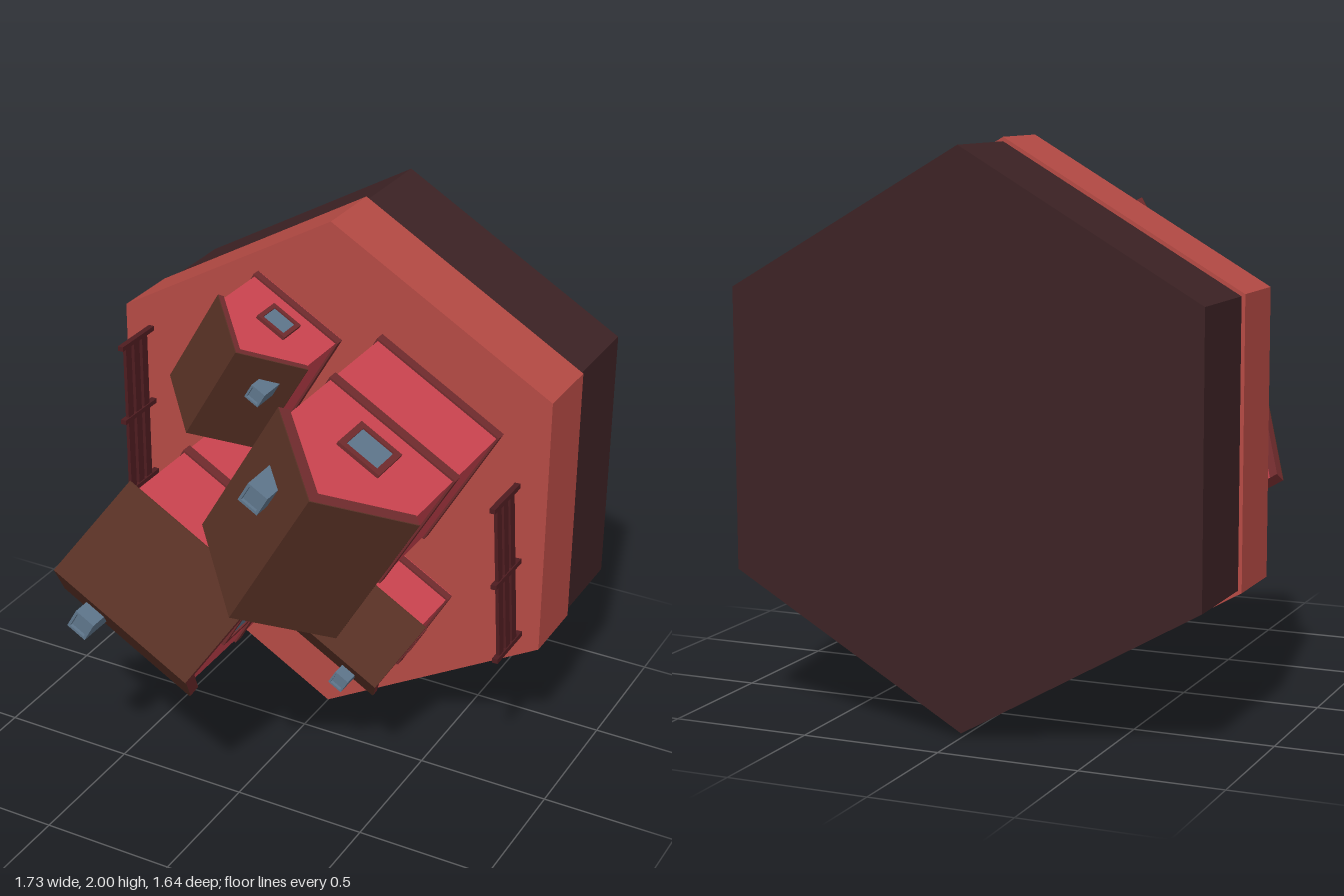
import * as THREE from 'three';

const mat = (name, color, flatShading = true) => {
  const m = new THREE.MeshStandardMaterial({ color, flatShading });
  m.name = name;
  return m;
};

export function createModel() {
  const clay = mat('clay red', 0xb54a44);
  const earth = mat('dark earth', 0x3c2224);
  const wall = mat('wall red', 0xcc4450);
  const trim = mat('dark red trim', 0x702b2d);
  const roofBrown = mat('roof brown', 0x573024);
  const slate = mat('blue grey', 0x5f768c);
  const wood = mat('fence wood', 0x4e1c20);

  const model = new THREE.Group();
  model.name = 'hexVillageTile';
  const GROUND = -0.19;

  const add = (parent, name, geo, material, x = 0, y = 0, z = 0) => {
    const m = new THREE.Mesh(geo, material);
    m.name = name;
    m.position.set(x, y, z);
    parent.add(m);
    return m;
  };
  const box = (w, d, h) => new THREE.BoxGeometry(w, d, h);

  // Extrude a cross-section (across, up) along the ridge, which runs along y
  const alongRidge = (points, length) => {
    const shape = new THREE.Shape(points.map(p => new THREE.Vector2(...p)));
    return new THREE.ExtrudeGeometry(shape, { depth: length, bevelEnabled: false })
      .translate(0, 0, -length / 2).rotateX(Math.PI / 2);
  };
  // Rectangular frame with a hole, extruded along z
  const frameGeo = (w, h, border, depth) => {
    const rect = (T, a, b) => new T([[-a, -b], [a, -b], [a, b], [-a, b]].map(p => new THREE.Vector2(...p)));
    const s = rect(THREE.Shape, w / 2, h / 2);
    s.holes.push(rect(THREE.Path, w / 2 - border, h / 2 - border));
    return new THREE.ExtrudeGeometry(s, { depth, bevelEnabled: false });
  };

  // Hexagonal ground: clay slab on top of a dark layer
  const hex = (name, r, z0, z1, m) =>
    add(model, name, new THREE.CylinderGeometry(r, r, z1 - z0, 6).rotateX(Math.PI / 2), m, 0, 1, (z0 + z1) / 2);
  hex('groundSlab', 1, -0.46, GROUND, clay);
  hex('earthLayer', 0.985, -0.82, -0.46, earth);

  function house(name, o) {
    const g = new THREE.Group();
    g.name = name;
    g.position.set(o.x, 1 + o.y, 0);
    g.rotation.z = THREE.MathUtils.degToRad(o.turn);
    model.add(g);
    const { half: h, roof: r, eave, ridge } = o;
    const slope = (ridge - eave) / r;
    const run = r - h;

    // Walls with gables
    const eaveIn = eave - run;
    const apexIn = eaveIn + slope * h;
    add(g, 'walls', alongRidge([[-h, GROUND], [h, GROUND], [h, eaveIn], [0, apexIn], [-h, eaveIn]], h * 2), wall);

    // Trim bands round the walls
    for (const [z, height] of o.bands) add(g, 'trimBand', box(h * 2 + 0.015, h * 2 + 0.015, height), trim, 0, 0, z);

    // Roof slab with a thin brown covering
    const t = 0.005;
    add(g, 'roofSlab', alongRidge(
      [[-h, eaveIn], [0, apexIn], [h, eaveIn], [r, eave - t], [0, ridge - t], [-r, eave - t]], r * 2), trim);
    add(g, 'roofCovering', alongRidge(
      [[-r, eave - t], [0, ridge - t], [r, eave - t], [r, eave], [0, ridge], [-r, eave]], r * 2), roofBrown);

    // Hollow chimney
    const [cu, cv] = o.chimney, c = o.chimneySize, top = ridge - 0.038;
    const low = ridge - slope * Math.abs(cu) - c;
    add(g, 'chimney', frameGeo(c, c, c * 0.12, top - low), slate, cu, cv, low);
    add(g, 'chimneyCore', box(c * 0.76, c * 0.76, top - low - 0.012), slate, cu, cv, (top + low - 0.012) / 2);

    // Framed window on each gable
    const w = o.window, hw = w * 0.95;
    for (const side of [1, -1]) {
      const win = new THREE.Group();
      win.name = 'window';
      win.position.set(0, side * h, o.windowZ);
      win.rotation.set(-side * Math.PI / 2, 0, 0);
      g.add(win);
      add(win, 'windowFrame', frameGeo(w, hw, w * 0.13, 0.014), trim);
      add(win, 'windowPane', box(w * 0.76, hw * 0.76, 0.008), slate, 0, 0, 0.004);
    }
  }

  const large = {
    half: 0.27, roof: 0.302, eave: 0.55, ridge: 0.818, bands: [[-0.165, 0.04], [0.187, 0.042]],
    chimneySize: 0.082, window: 0.178, windowZ: 0.375,
  };
  const small = { half: 0.19, roof: 0.207, bands: [[-0.162, 0.032]], chimneySize: 0.06, window: 0.125 };
  house('upperLargeHouse', { ...large, x: 0.3125, y: 0.24, turn: -30, chimney: [-0.162, 0.126] });
  house('lowerLargeHouse', { ...large, x: -0.28, y: -0.19, turn: -120, chimney: [0.16, -0.127] });
  house('upperSmallHouse', {
    ...small, x: -0.215, y: 0.49, turn: -30, eave: 0.1, ridge: 0.288, chimney: [0.129, 0.086], windowZ: -0.022,
  });
  house('lowerSmallHouse', {
    ...small, x: 0.25, y: -0.44, turn: -120, eave: 0.07, ridge: 0.26, chimney: [0.129, 0.086], windowZ: -0.045,
  });

  // Plank fences
  function fence(name, x, y, turn) {
    const g = new THREE.Group();
    g.name = name;
    g.position.set(x, y, 0);
    g.rotation.z = turn;
    model.add(g);
    for (const v of [-0.302, 0, 0.302]) add(g, 'fencePost', box(0.022, 0.018, 0.215), wood, 0, v, -0.0825);
    for (const z of [-0.02, -0.075, -0.13]) add(g, 'fenceRail', box(0.013, 0.61, 0.036), wood, 0, 0, z);
  }
  fence('rightFence', -0.757, 1.125, 0);
  fence('leftFence', 0.77, 0.85, 0.06);

  return model;
}
